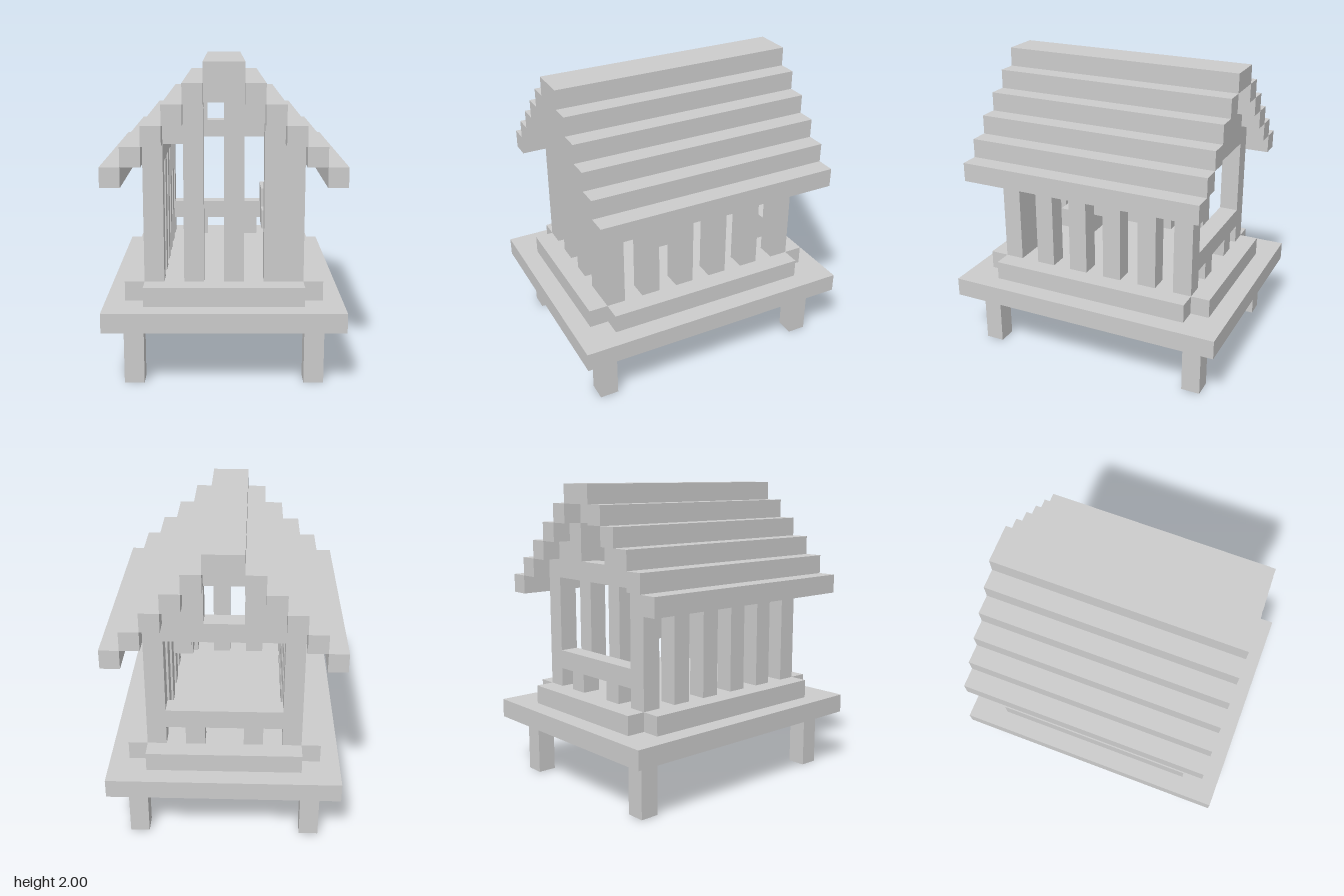
import * as THREE from 'three';

const U = 0.125; // one block

export function createModel() {
  const model = new THREE.Group();
  const material = new THREE.MeshStandardMaterial({ color: 0xcccccc, flatShading: true });

  // Box from its lower and upper limits, counted in blocks
  function block(name, x0, x1, y0, y1, z0, z1) {
    const geometry = new THREE.BoxGeometry((x1 - x0) * U, (y1 - y0) * U, (z1 - z0) * U);
    const mesh = new THREE.Mesh(geometry, material);
    mesh.position.set((x0 + x1) * U / 2, (y0 + y1) * U / 2, (z0 + z1) * U / 2);
    mesh.name = name;
    model.add(mesh);
  }
  // The same box on both sides of x = 0
  function pair(name, x0, x1, ...rest) {
    block(name, x0, x1, ...rest);
    block(name, -x1, -x0, ...rest);
  }

  // Legs and deck
  for (const z of [-6.5, 5.5]) pair('leg', 4, 5, 0, 3, z, z + 1);
  block('deck', -6, 6, 3, 4, -7.5, 7.5);

  // Floor with a sill along each wall, open at the corners
  block('floor', -4, 4, 4, 5, -5.5, 5.5);
  pair('sideSill', 4, 5, 4, 5, -5.5, 5.5);
  block('frontSill', -4, 4, 4, 5, 5.5, 6.5);
  block('backSill', -4, 4, 4, 5, -6.5, -5.5);

  // Side walls: slats under a top plate
  for (let z = -5.5; z < 5; z += 2) pair('sideSlat', 3, 4, 5, 12, z, z + 1);
  pair('topPlate', 3, 4, 11, 12, -4.5, 4.5);

  // Front wall: uprights rising to the stepped roof, short lintels over the gaps
  const roofBase = (x) => 15 - Math.floor(Math.abs(x + 0.5));
  for (let x = -4; x < 4; x++) {
    const top = roofBase(x);
    const gap = x === -3 || x === -1 || x === 1;
    if (gap) block('frontLintel', x, x + 1, top - 1, top, 4.5, 5.5);
    else block('frontUpright', x, x + 1, 5, top, 4.5, 5.5);
  }

  // Back wall: posts, rail on stubs, cross beam and gable with a small vent
  pair('backPost', 3, 4, 5, 12, -5.5, -4.5);
  pair('railStub', 1, 2, 5, 6, -5.5, -4.5);
  block('backRail', -3, 3, 6, 7, -5.5, -4.5);
  block('crossBeam', -3, 3, 11, 12, -5.5, -4.5);
  pair('backGableOuter', 2, 3, 12, 13, -5.5, -4.5);
  pair('backGableInner', 1, 2, 12, 14, -5.5, -4.5);
  block('ventLintel', -1, 1, 14, 15, -5.5, -4.5);

  // Stepped perch inside, against the left wall
  block('perchHigh', 2, 3, 8, 9, -0.5, 0.5);
  block('perchLink', 2, 3, 7, 9, 0.5, 1.5);
  block('perchLow', 2, 3, 7, 8, 1.5, 2.5);

  // Roof: ridge and stepped beams
  block('ridge', -1, 1, 15, 16, -6.5, 6.5);
  for (let i = 1; i <= 5; i++) pair('roofBeam', i, i + 1, 15 - i, 16 - i, -6.5, 6.5);

  return model;
}
